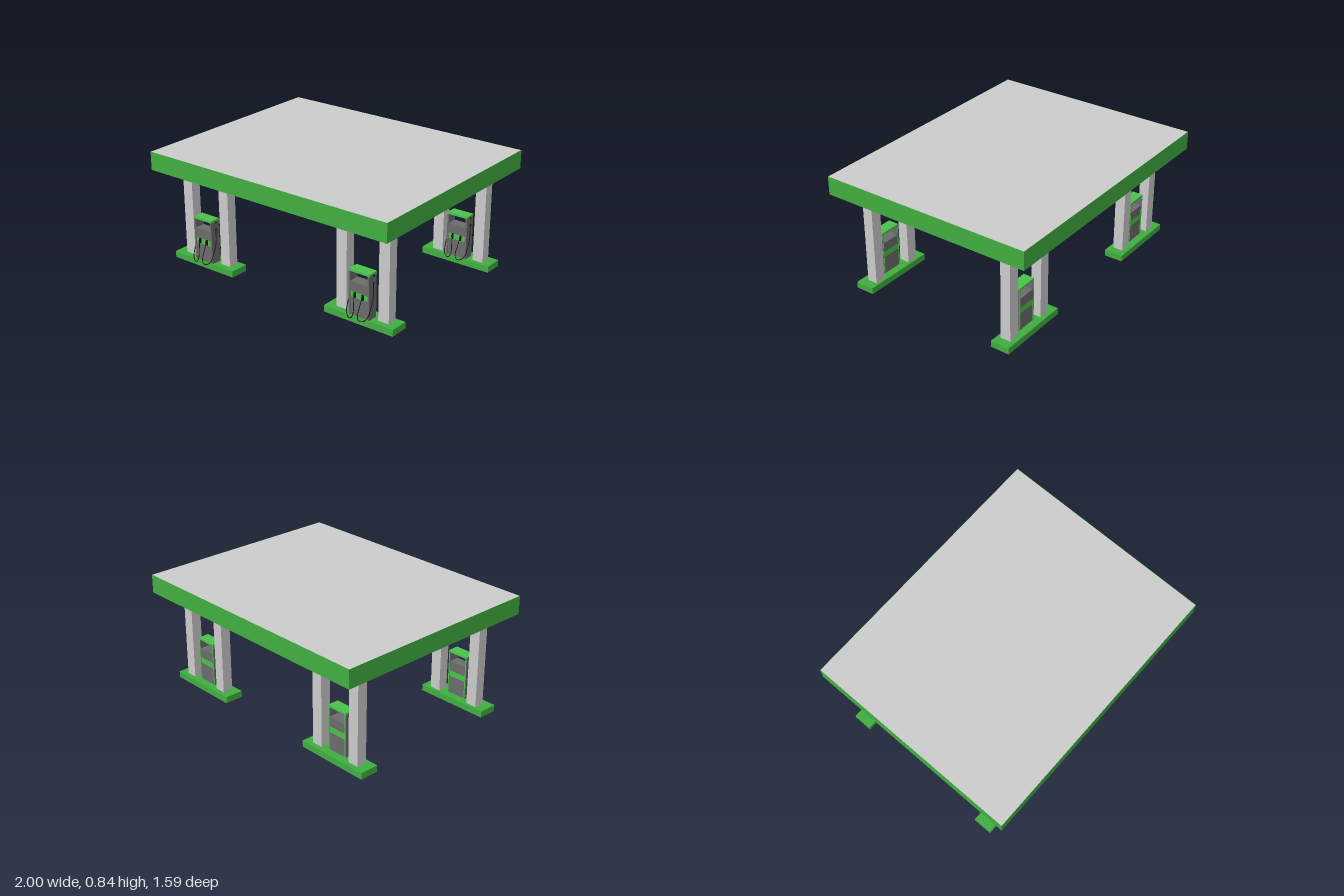
import * as THREE from 'three';

const paint = (color) => new THREE.MeshStandardMaterial({ color });
const grey = paint(0xcccccc);
const green = paint(0x40ae40);
const brightGreen = paint(0x4cc04c);
const dark = paint(0x6b6b6b);
const black = paint(0x181818);

// Box given by its minimum and maximum corners
function box(parent, name, material, [x0, y0, z0], [x1, y1, z1]) {
  const mesh = new THREE.Mesh(new THREE.BoxGeometry(x1 - x0, y1 - y0, z1 - z0), material);
  mesh.position.set((x0 + x1) / 2, (y0 + y1) / 2, (z0 + z1) / 2);
  mesh.name = name;
  parent.add(mesh);
  return mesh;
}

// Fuel pump: centred on x, front face at z = 0, standing on the island
function createPump() {
  const pump = new THREE.Group();
  pump.name = 'fuelPump';
  const base = 0.047, back = -0.083;

  // Cabinet, with a raised display section and an open window above it
  box(pump, 'lowerCabinet', dark, [-0.07, base, back + 0.003], [0.07, 0.176, -0.004]);
  box(pump, 'nozzleBand', brightGreen, [-0.07, 0.176, back + 0.003], [0.07, 0.219, -0.006]);
  box(pump, 'display', dark, [-0.07, 0.219, back + 0.003], [0.07, 0.289, -0.001]);
  box(pump, 'cap', brightGreen, [-0.081, 0.358, back], [0.081, 0.373, 0]);

  for (const s of [-1, 1]) {
    // Side plate with a green trim strip along its rear edge
    const plate = box(pump, 'sidePlate', dark, [-0.006, base, back + 0.003], [0.006, 0.358, 0]);
    plate.position.x = s * 0.075;
    const trim = box(pump, 'rearTrim', brightGreen, [-0.004, base, back], [0.004, 0.358, back + 0.004]);
    trim.position.x = s * 0.075;

    // Nozzle resting in the band
    const nozzle = box(pump, 'nozzle', black, [-0.005, 0.18, -0.008], [0.005, 0.22, 0.006]);
    nozzle.position.x = s * 0.032;
    const grip = box(pump, 'nozzleGrip', black, [-0.005, 0.192, 0.002], [0.005, 0.206, 0.011]);
    grip.position.x = s * 0.032;

    // Hose looping from the nozzle down and up the side
    const path = [
      [0.032, 0.2, 0.008], [0.024, 0.14, 0.022], [0.018, 0.09, 0.035],
      [0.028, 0.056, 0.043], [0.052, 0.05, 0.04], [0.08, 0.07, 0.022],
      [0.09, 0.12, 0], [0.088, 0.2, -0.034], [0.083, 0.3, -0.045],
    ].map(([x, y, z]) => new THREE.Vector3(s * x, y, z));
    const hose = new THREE.Mesh(
      new THREE.TubeGeometry(new THREE.CatmullRomCurve3(path), 48, 0.003, 6), black);
    hose.name = 'hose';
    pump.add(hose);

    // Hose fittings on the side plate
    for (const y of [0.3, 0.353]) {
      const fitting = box(pump, 'hoseFitting', black, [-0.004, y - 0.006, -0.051], [0.004, y + 0.006, -0.039]);
      fitting.position.x = s * 0.083;
    }
  }
  return pump;
}

export function createModel() {
  const model = new THREE.Group();
  model.name = 'fuelStation';

  // Canopy: grey slab wrapped in a thin green fascia
  const y0 = 0.71, y1 = 0.844, w = 1, d = 0.797, t = 0.002;
  box(model, 'canopySlab', grey, [t - w, y0, t - d], [w - t, y1, d - t]);
  for (const s of [-1, 1]) {
    const end = box(model, 'sideFascia', green, [-t / 2, y0, -d], [t / 2, y1, d]);
    end.position.x = s * (w - t / 2);
    const face = box(model, 'longFascia', green, [t - w, y0, -t / 2], [w - t, y1, t / 2]);
    face.position.z = s * (d - t / 2);
  }

  // Four islands, each with two columns and a pump facing the front
  for (const cx of [-0.684, 0.68]) {
    for (const front of [true, false]) {
      const island = new THREE.Group();
      island.name = 'island';
      island.position.set(cx, 0, front ? 0.58 : -0.578);
      box(island, 'plinth', green, [-0.279, 0, -0.07], [0.274, 0.047, 0.07]);

      const columnZ = front ? -0.013 : 0.002;
      for (const x of [-0.167, 0.169]) {
        box(island, 'column', grey, [x - 0.041, 0.047, columnZ - 0.038], [x + 0.041, y0, columnZ + 0.038]);
      }

      const pump = createPump();
      pump.position.set(0.003, 0, 0.067);
      island.add(pump);
      model.add(island);
    }
  }
  return model;
}
